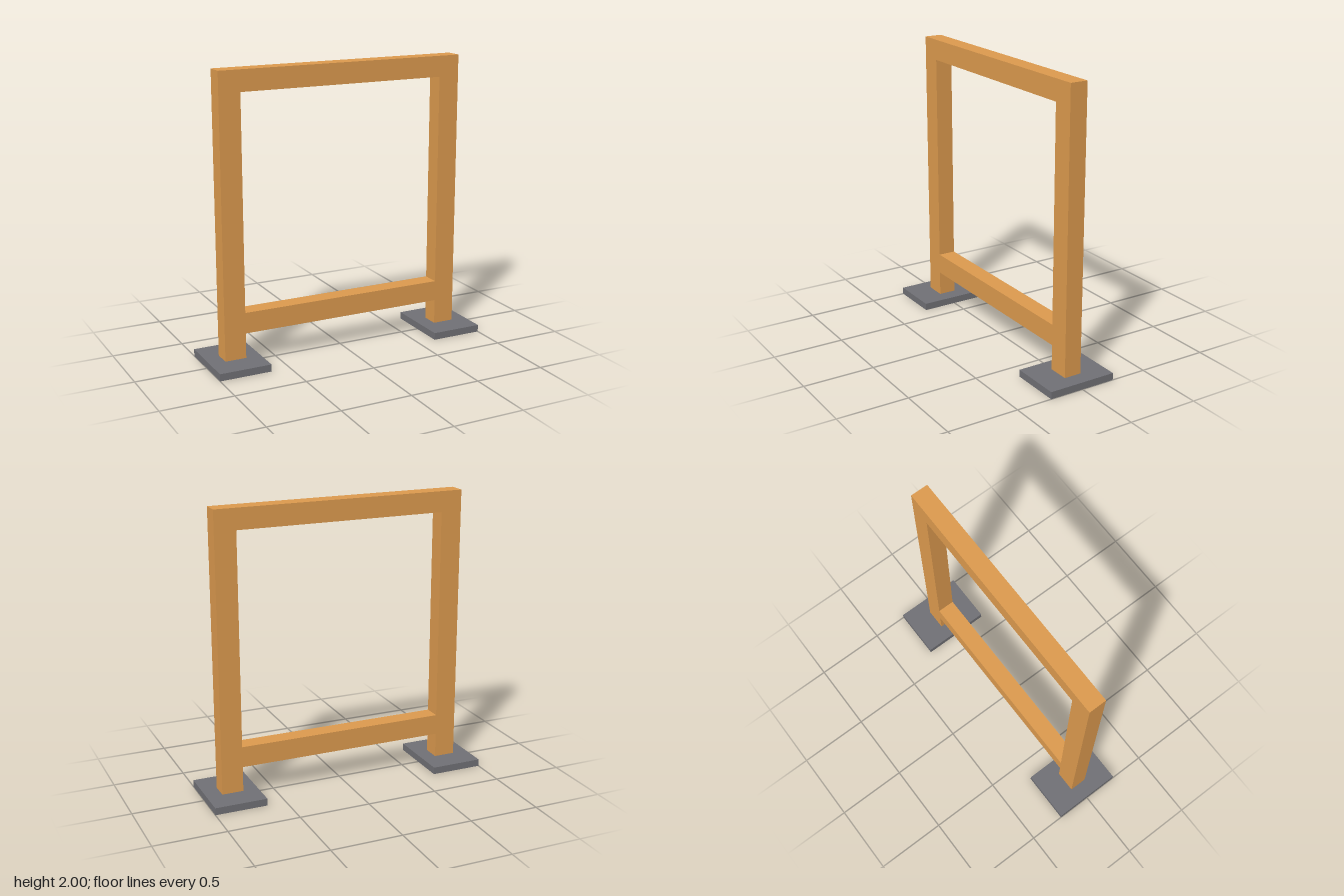
import * as THREE from 'three';

export function createModel() {
  const model = new THREE.Group();
  const wood = new THREE.MeshStandardMaterial({ color: 0xdc9a4e });
  const metal = new THREE.MeshStandardMaterial({ color: 0x707075 });

  const outer = 0.89, inner = 0.74, depth = 0.124;
  const footTop = 0.05, railBottom = 0.225, railTop = 0.37, openingTop = 1.855, top = 2;
  const postBottom = 0.02; // posts are let into the foot plates

  // Frame: two posts joined by a top and a bottom rail, cut from one outline
  const outline = new THREE.Shape([
    [-outer, postBottom], [-inner, postBottom], [-inner, railBottom], [inner, railBottom],
    [inner, postBottom], [outer, postBottom], [outer, top], [-outer, top],
  ].map(([x, y]) => new THREE.Vector2(x, y)));
  outline.holes.push(new THREE.Path([
    [-inner, railTop], [-inner, openingTop], [inner, openingTop], [inner, railTop],
  ].map(([x, y]) => new THREE.Vector2(x, y))));
  const frameGeometry = new THREE.ExtrudeGeometry(outline, { depth, bevelEnabled: false });
  frameGeometry.translate(0, 0, -depth / 2);
  const frame = new THREE.Mesh(frameGeometry, wood);
  frame.name = 'frame';
  model.add(frame);

  // Flat foot plate under each post
  for (const side of [-1, 1]) {
    const foot = new THREE.Mesh(new THREE.BoxGeometry(0.366, footTop, 0.49), metal);
    foot.position.set(side * 0.817, footTop / 2, 0);
    foot.name = side > 0 ? 'leftFoot' : 'rightFoot';
    model.add(foot);
  }

  return model;
}
